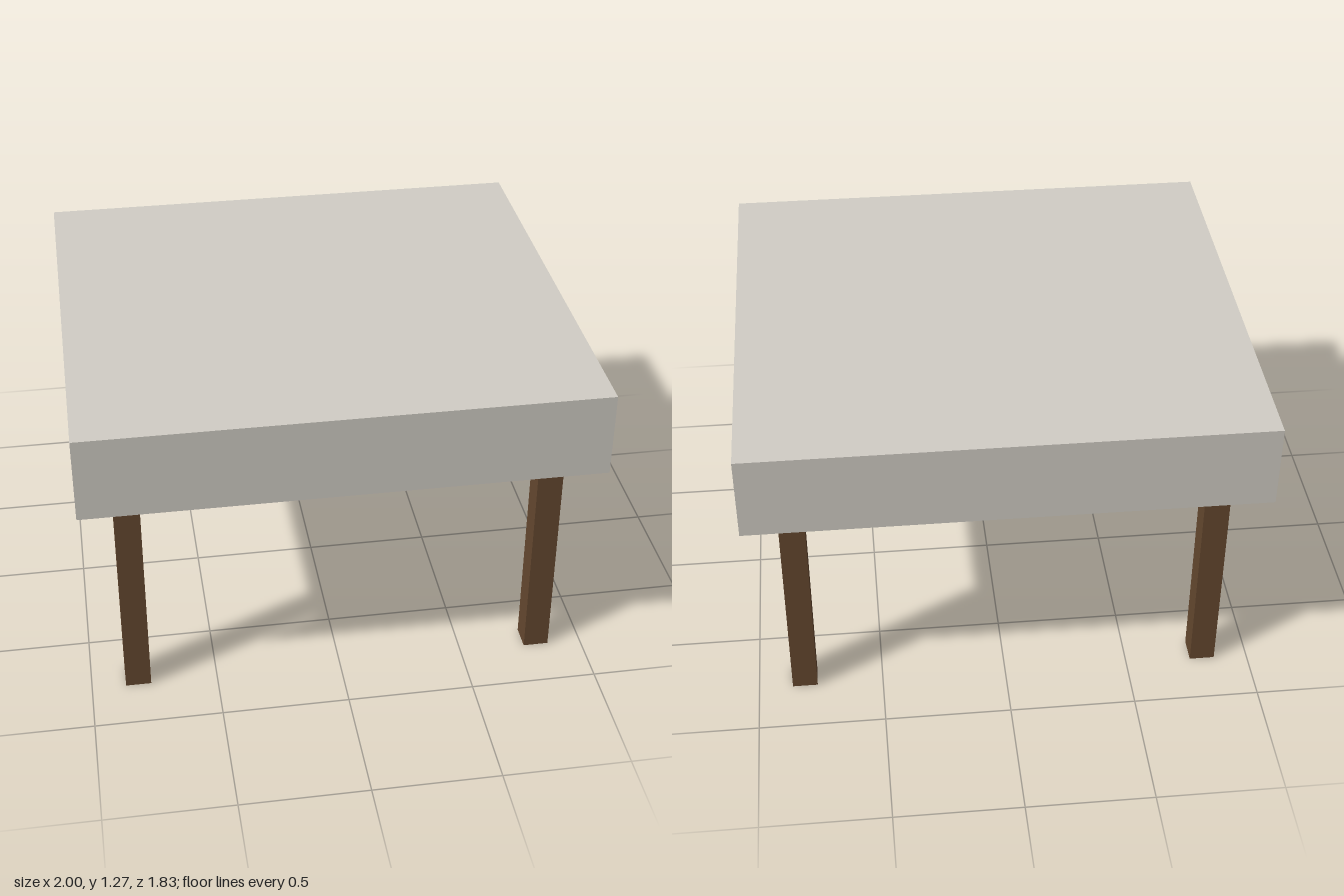
import * as THREE from 'three';

const wood = new THREE.MeshStandardMaterial({ color: 0x65482f });
const openWood = new THREE.MeshStandardMaterial({ color: 0x65482f, flatShading: true, side: THREE.DoubleSide });
const cloth = new THREE.MeshStandardMaterial({ color: 0xd1cdc5 });

function add(parent, name, geometry, material, x, y, z) {
  const mesh = new THREE.Mesh(geometry, material);
  mesh.name = name;
  mesh.position.set(x, y, z);
  parent.add(mesh);
  return mesh;
}

export function createModel() {
  const table = new THREE.Group();
  table.name = 'clothCoveredTable';

  // Overhanging top and the solid block under it
  add(table, 'tableTop', new THREE.BoxGeometry(1.93, 0.055, 1.76), wood, 0, 1.2325, 0);
  add(table, 'apron', new THREE.BoxGeometry(1.73, 0.14, 1.57), wood, 0, 1.135, 0);

  // Four square legs, open at the foot
  const legHeight = 1.065;
  const legGeometry = new THREE.CylinderGeometry(0.05 * Math.SQRT2, 0.05 * Math.SQRT2, legHeight, 4, 1, true);
  legGeometry.rotateY(Math.PI / 4);
  for (const [side, x] of [['Left', 0.815], ['Right', -0.815]]) {
    for (const [end, z] of [['front', 0.735], ['back', -0.735]]) {
      add(table, `${end}${side}Leg`, legGeometry, openWood, x, legHeight / 2, z);
    }
  }

  // Thin cloth: a U-shaped section hanging at front and back, extruded along x
  const half = 0.915, top = 1.268, hem = 0.93, thick = 0.006;
  const section = new THREE.Shape([
    [-half, hem], [-half + thick, hem], [-half + thick, top - thick], [half - thick, top - thick],
    [half - thick, hem], [half, hem], [half, top], [-half, top],
  ].map(([z, y]) => new THREE.Vector2(z, y)));
  const clothGeometry = new THREE.ExtrudeGeometry(section, { depth: 2, bevelEnabled: false });
  clothGeometry.translate(0, 0, -1).rotateY(Math.PI / 2);
  add(table, 'tablecloth', clothGeometry, cloth, 0, 0, 0);

  return table;
}
